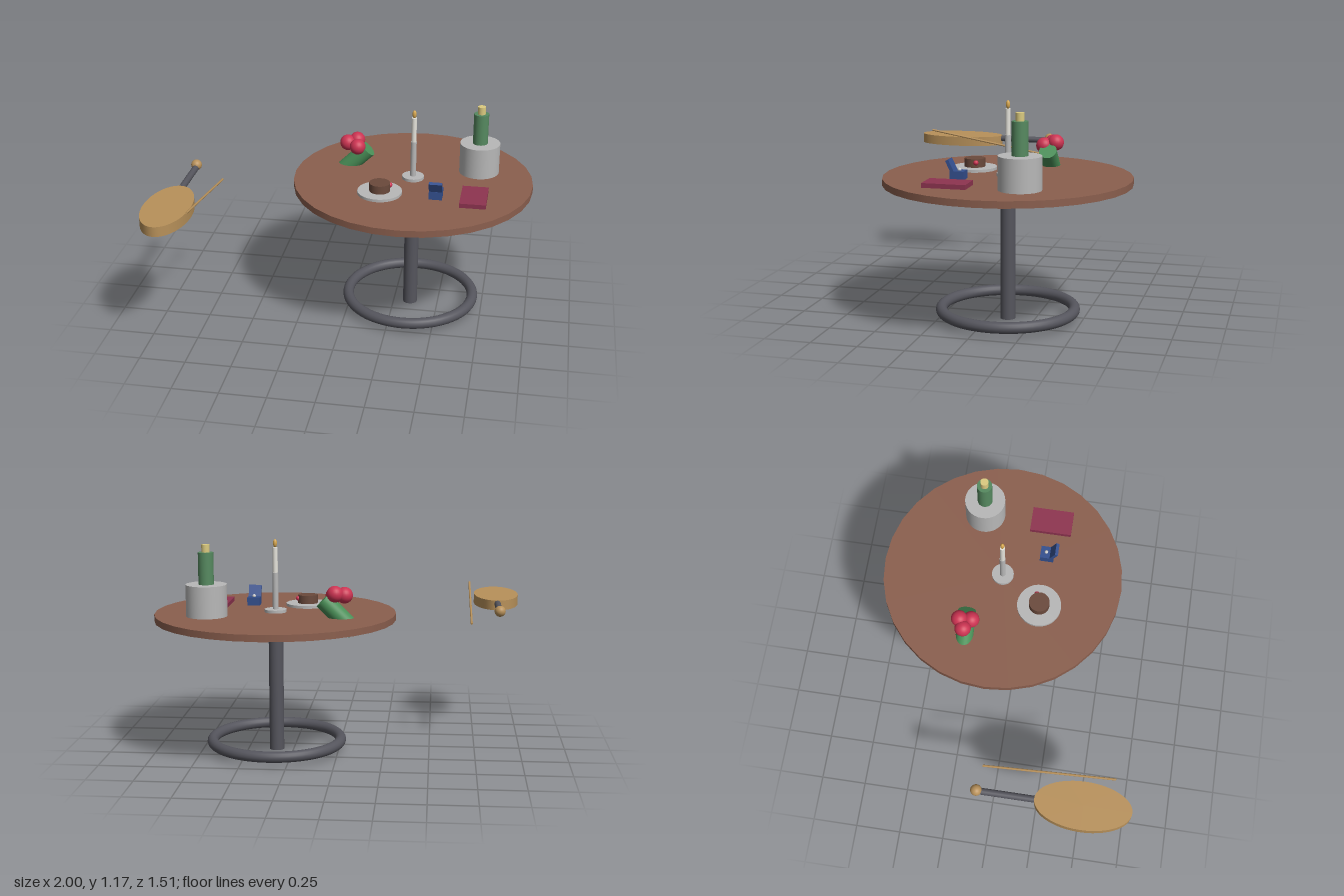
import * as THREE from 'three';

const colors = {
  wood: 0x8b5f4e, iron: 0x55555d, silver: 0xb8b8b8, wax: 0xe6e4dc, flame: 0xd8a850,
  bottle: 0x568a60, cork: 0xdccb80, wrap: 0x4a9058, rose: 0xcc3352, cake: 0x6b4a3c,
  book: 0x8e3450, blue: 0x34508f, tan: 0xb8915a, pearl: 0xe0e0e0,
};
const materials = {};
for (const key in colors) materials[key] = new THREE.MeshStandardMaterial({ color: colors[key] });

export function createModel() {
  const model = new THREE.Group();

  function add(parent, name, geometry, material, x, y, z) {
    const mesh = new THREE.Mesh(geometry, materials[material]);
    mesh.name = name;
    mesh.position.set(x, y, z);
    parent.add(mesh);
    return mesh;
  }
  // Upright cylinder given by its bottom and top heights
  const post = (parent, name, material, r, y0, y1, x = 0, z = 0, sides = 32) =>
    add(parent, name, new THREE.CylinderGeometry(r, r, y1 - y0, sides), material, x, (y0 + y1) / 2, z);
  const ball = (parent, name, material, r, x, y, z) =>
    add(parent, name, new THREE.SphereGeometry(r, 24, 16), material, x, y, z);
  function group(name, x, y, z) {
    const g = new THREE.Group();
    g.name = name;
    g.position.set(x, y, z);
    model.add(g);
    return g;
  }
  const TOP = 0.772;

  // Round table with a ring foot
  const table = group('table', 0.343, 0, -0.105);
  post(table, 'tableTop', 'wood', 0.655, 0.736, TOP);
  post(table, 'tablePole', 'iron', 0.04, 0, 0.736);
  add(table, 'footRing', new THREE.TorusGeometry(0.354, 0.03, 16, 64).rotateX(Math.PI / 2), 'iron', 0, 0.055, 0);

  // Candlestick
  const candle = group('candlestick', 0.343, TOP, -0.105);
  post(candle, 'candleBase', 'silver', 0.06, 0, 0.016);
  post(candle, 'candleStem', 'silver', 0.016, 0.016, 0.216, 0, 0, 20);
  post(candle, 'candleWax', 'wax', 0.014, 0.216, 0.354, 0, 0, 20);
  ball(candle, 'candleFlame', 'flame', 0.011, 0, 0.375, 0).scale.y = 2;

  // Bottle in its cooler
  const cooler = group('bottleCooler', 0.694, TOP, -0.256);
  post(cooler, 'coolerBucket', 'silver', 0.11, 0, 0.171);
  post(cooler, 'bottle', 'bottle', 0.041, 0.1, 0.342);
  post(cooler, 'cork', 'cork', 0.022, 0.342, 0.384, 0, 0, 20);

  // Plate with a cake and a berry
  const dessert = group('dessert', 0.19, TOP, 0.118);
  post(dessert, 'plate', 'silver', 0.12, 0, 0.015);
  post(dessert, 'cake', 'cake', 0.056, 0.015, 0.061);
  ball(dessert, 'berry', 'rose', 0.014, 0.052, 0.042, -0.02);

  // Small open box holding a ring stone
  const box = group('ringBox', 0.493, TOP, 0.12);
  add(box, 'boxBase', new THREE.BoxGeometry(0.07, 0.045, 0.075), 'blue', 0, 0.0225, 0);
  add(box, 'boxLid', new THREE.BoxGeometry(0.07, 0.075, 0.018), 'blue', 0, 0.067, 0.036).rotation.x = 0.45;
  ball(box, 'ringStone', 'pearl', 0.01, 0, 0.049, -0.006);

  // Flat book
  add(model, 'book', new THREE.BoxGeometry(0.14, 0.024, 0.228), 'book', 0.695, TOP + 0.012, 0.118);

  // Leaning bouquet
  const bouquet = group('bouquet', 0, 0, -0.256);
  add(bouquet, 'bouquetWrap', new THREE.CylinderGeometry(0.048, 0.048, 0.238, 32), 'wrap',
    -0.015, 0.783, 0).rotation.z = -0.8;
  for (const [x, y, z] of [[-0.045, 0.894, -0.004], [0.004, 0.903, -0.03], [0.015, 0.886, 0.032]])
    ball(bouquet, 'rose', 'rose', 0.044, x, y, z);

  // Stringed instrument with an oval body
  const fiddle = group('instrument', -0.873, 0, 0);
  const body = post(fiddle, 'instrumentBody', 'tan', 1, 0.735, 0.79, 0, 0.5, 48);
  body.scale.set(0.127, 1, 0.254);
  add(fiddle, 'instrumentNeck', new THREE.CylinderGeometry(0.018, 0.018, 0.32, 20).rotateX(Math.PI / 2),
    'iron', 0, 0.772, 0.11);
  ball(fiddle, 'instrumentScroll', 'tan', 0.03, 0, 0.783, -0.057);

  // Sloping bow beside it
  add(model, 'bow', new THREE.CylinderGeometry(0.006, 0.006, 0.705, 12).rotateX(Math.PI / 2), 'tan',
    -0.722, 0.771, 0.301).rotation.x = -Math.atan2(0.122, 0.695);

  return model;
}
